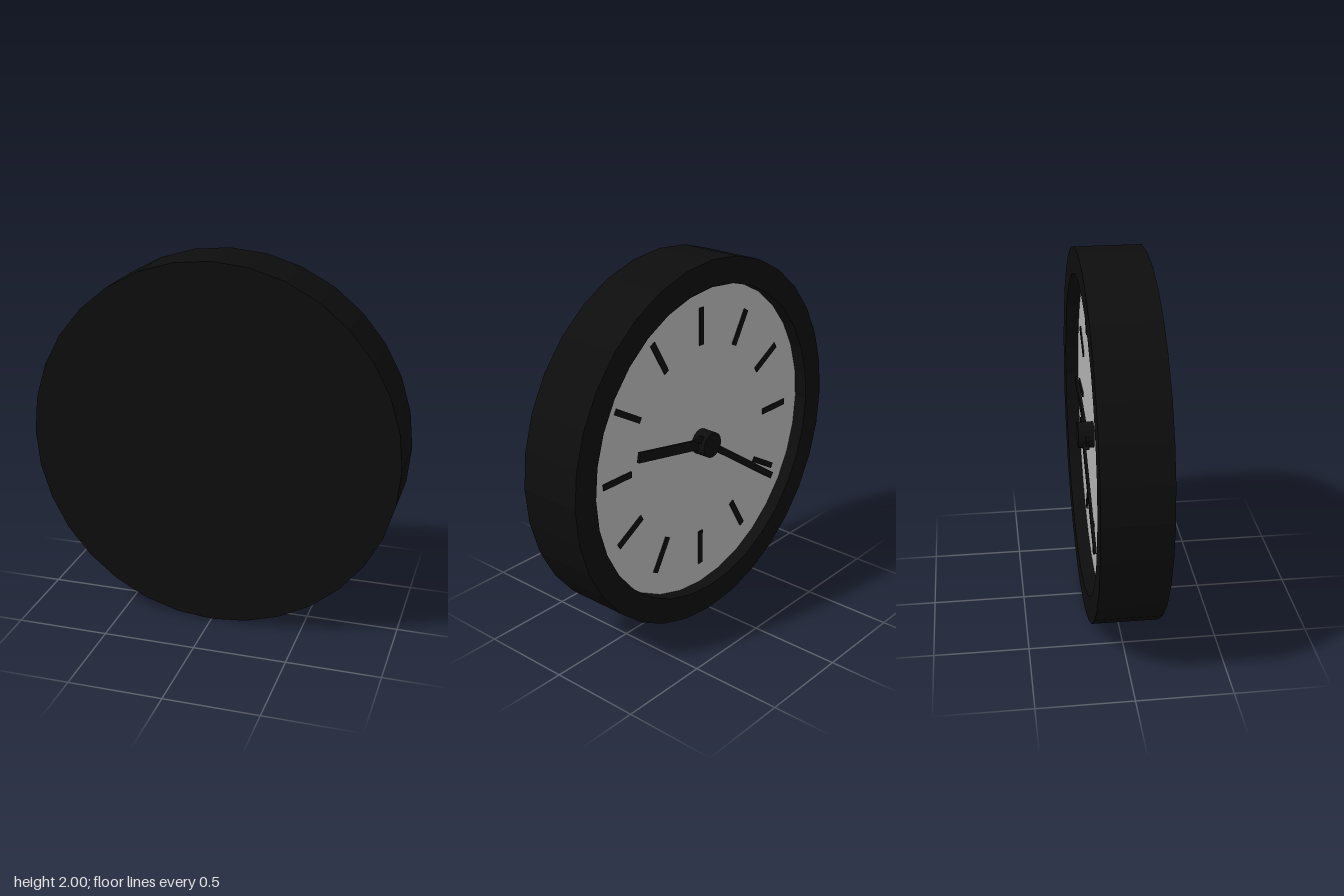
import * as THREE from 'three';

export function createModel() {
  const black = new THREE.MeshStandardMaterial({ color: 0x0d0d0d, flatShading: true });
  black.name = 'black';
  const dialGrey = new THREE.MeshStandardMaterial({ color: 0xb0b0b0 });
  dialGrey.name = 'dial grey';

  const model = new THREE.Group();
  model.name = 'wallClock';

  // The dial faces -z. Inside this group the dial looks along +z, with clock angles clockwise.
  const clock = new THREE.Group();
  clock.name = 'clock';
  clock.position.y = 1;
  clock.rotation.y = Math.PI;
  model.add(clock);

  const add = (name, geometry, material) => {
    const mesh = new THREE.Mesh(geometry, material);
    mesh.name = name;
    clock.add(mesh);
    return mesh;
  };

  // Case: closed back, straight wall and a recess for the dial
  const profile = [[0, -0.18], [1, -0.18], [1, 0.17], [0.86, 0.17], [0.86, 0.09], [0, 0.09]]
    .map(([r, h]) => new THREE.Vector2(r, h));
  add('case', new THREE.LatheGeometry(profile, 32).rotateX(Math.PI / 2), black);

  // Dial plate
  add('dial', new THREE.CircleGeometry(0.86, 32).translate(0, 0, 0.097), dialGrey);

  // A flat bar reaching from radius r0 to r1 at a clock angle in degrees
  const bar = (name, degrees, r0, r1, width, depth, z) => {
    const geometry = new THREE.BoxGeometry(width, r1 - r0, depth);
    geometry.translate(0, (r0 + r1) / 2, z);
    add(name, geometry, black).rotation.z = -THREE.MathUtils.degToRad(degrees);
  };

  // Hour marks
  for (let i = 0; i < 12; i++) bar('hourMark' + (i + 1), (i + 1) * 30, 0.54, 0.74, 0.033, 0.008, 0.1);

  // Hands, each with a short tail
  bar('hourHand', 280.4, -0.1, 0.53, 0.055, 0.015, 0.135);
  bar('minuteHand', 124.5, -0.1, 0.69, 0.038, 0.015, 0.152);

  // Hub
  const hub = new THREE.CylinderGeometry(0.07, 0.07, 0.087, 16).rotateX(Math.PI / 2);
  add('hub', hub.translate(0, 0, 0.1385), black);

  return model;
}
